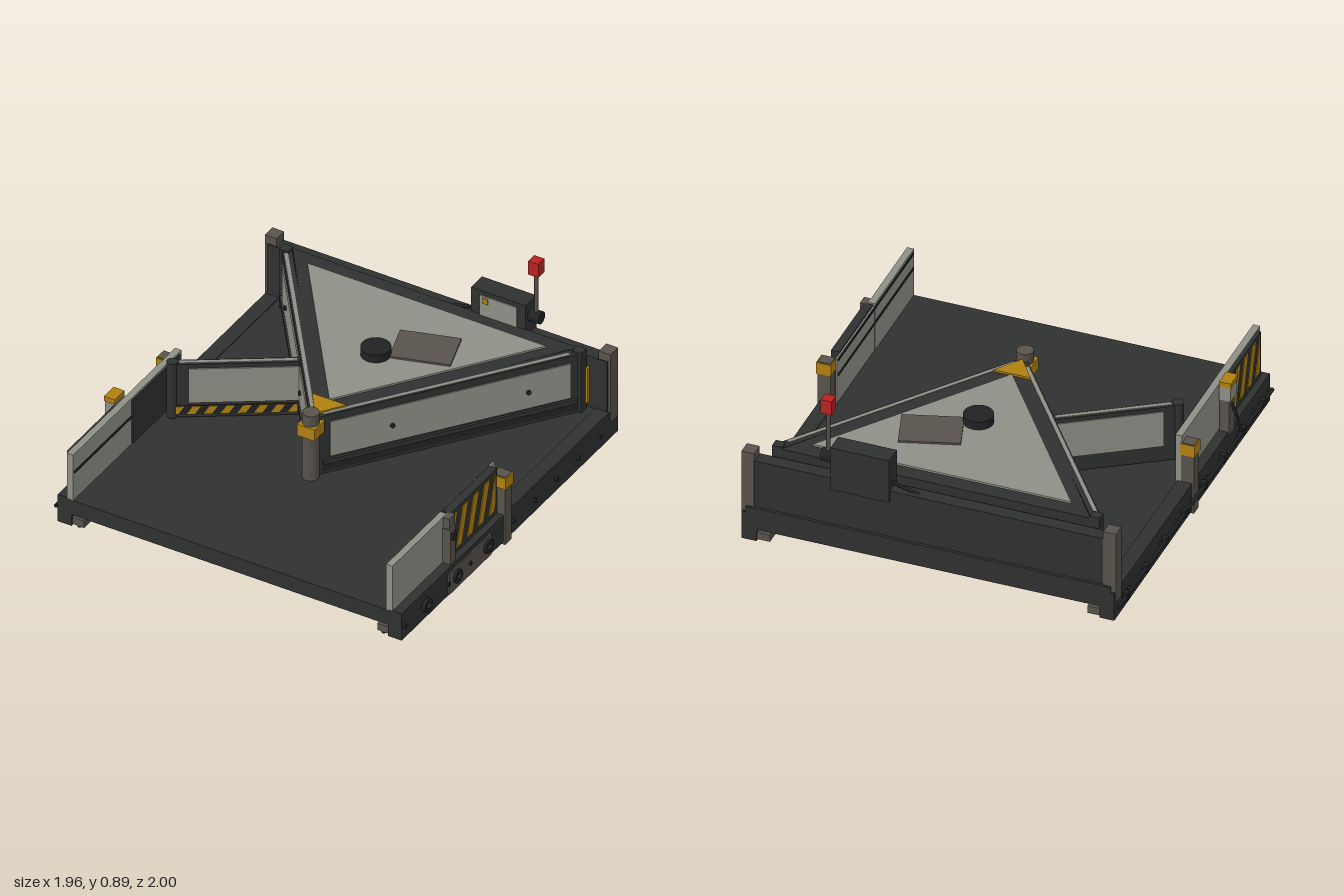
import * as THREE from 'three';

const mat = (name, color) => Object.assign(new THREE.MeshStandardMaterial({ color }), { name });

export function createModel() {
  const root = new THREE.Group();
  root.name = 'wedgeGatePlatform';
  const dark = mat('charcoal', 0x2f3030), black = mat('rubberBlack', 0x202224);
  const light = mat('paleGrey', 0x8e9086), brown = mat('brownSteel', 0x58524b);
  const yellow = mat('safetyYellow', 0xb08010), red = mat('lampRed', 0xb82222);

  const add = (name, geo, m, parent = root) => {
    const mesh = new THREE.Mesh(geo, m);
    mesh.name = name;
    parent.add(mesh);
    return mesh;
  };
  // Box given by its limits on each axis
  const box = (name, m, [x0, x1], [y0, y1], [z0, z1], parent = root) => {
    const mesh = add(name, new THREE.BoxGeometry(Math.abs(x1 - x0), y1 - y0, z1 - z0), m, parent);
    mesh.position.set((x0 + x1) / 2, (y0 + y1) / 2, (z0 + z1) / 2);
    return mesh;
  };
  const cyl = (name, m, r, h, x, y, z, axis = 'y', parent = root, sides = 20) => {
    const mesh = add(name, new THREE.CylinderGeometry(r, r, h, sides), m, parent);
    mesh.position.set(x, y, z);
    if (axis === 'x') mesh.rotation.z = Math.PI / 2;
    if (axis === 'z') mesh.rotation.x = Math.PI / 2;
    return mesh;
  };
  // Flat prism from plan points [x, z]
  const prism = (name, m, pts, y0, y1) => {
    const shape = new THREE.Shape(pts.map(([x, z]) => new THREE.Vector2(x, -z)));
    const geo = new THREE.ExtrudeGeometry(shape, { depth: y1 - y0, bevelEnabled: false });
    geo.rotateX(-Math.PI / 2);
    return add(name, geo, m).position.y = y0;
  };
  // Group whose local x runs from a to b in plan, starting at a; local z is the outer side
  const run = (name, a, b) => {
    const g = new THREE.Group();
    g.name = name;
    g.position.set(a[0], 0, a[1]);
    g.rotation.y = Math.atan2(a[1] - b[1], b[0] - a[0]);
    g.userData.length = Math.hypot(b[0] - a[0], b[1] - a[1]);
    root.add(g);
    return g;
  };
  // Slanted stripes clipped to a rectangle, lying on local z
  const clip = (poly, limit, sign) => poly.flatMap((p, i) => {
    const q = poly[(i + 1) % poly.length];
    const dp = sign * (limit - p[0]), dq = sign * (limit - q[0]);
    const out = dp >= 0 ? [p] : [];
    if (dp * dq < 0) {
      const t = dp / (dp - dq);
      out.push([limit, p[1] + t * (q[1] - p[1])]);
    }
    return out;
  });
  const stripes = (parent, x0, x1, y0, y1, z, period, lean) => {
    for (let s = x0 - lean; s < x1; s += period) {
      const e = s + period / 2;
      let poly = [[s, y0], [e, y0], [e + lean, y1], [s + lean, y1]];
      poly = clip(clip(poly, x1, 1), x0, -1);
      if (poly.length < 3) continue;
      const shape = new THREE.Shape(poly.map(p => new THREE.Vector2(...p)));
      add('hazardStripe', new THREE.ExtrudeGeometry(shape, { depth: 0.005, bevelEnabled: false }), yellow, parent).position.z = z;
    }
  };

  // Deck, side beams and their inner flanges
  box('deck', dark, [-0.88, 0.88], [0.08, 0.165], [-1, 1]);
  for (const s of [-1, 1]) {
    box('sideBeam', dark, [s * 0.875, s * 0.95], [0.015, 0.17], [-1, 1]);
    box('beamFlange', brown, [s * 0.81, s * 0.875], [0.02, 0.06], [-0.99, 0.99]);
    for (let i = 0; i < 10; i++) {
      const z = -0.82 + i * 0.2;
      cyl('beamBolt', black, 0.011, 0.02, s * 0.955, 0.09, z, 'x', root, 8);
      cyl('flangeBolt', black, 0.011, 0.012, s * 0.84, 0.018, z, 'y', root, 8);
    }
    box('cornerPost', brown, [s * 0.89, s * 0.955], [0.11, 0.505], [-0.99, -0.92]);
    // Middle gate posts
    box('gatePost', brown, [s * 0.895, s * 0.96], [0, 0.392], [0, 0.06]);
    box('gatePostBand', yellow, [s * 0.89, s * 0.966], [0.325, 0.388], [-0.005, 0.066]);
    box('wedgeHingePost', dark, [s * 0.785, s * 0.835], [0.165, 0.51], [-0.9, -0.85]);
    box('hingeMarker', yellow, [s * 0.828, s * 0.845], [0.2, 0.4], [-0.912, -0.89]);
  }

  // Back wall
  box('backWall', dark, [-0.94, 0.94], [0.165, 0.46], [-0.985, -0.915]);
  box('backWallLip', dark, [-0.93, 0.93], [0.08, 0.2], [-1, -0.98]);

  // Wedge body and top
  prism('wedgeBody', dark, [[-0.79, -0.9], [0, 0.19], [0.79, -0.9]], 0.165, 0.5);
  prism('wedgeTopPanel', light, [[-0.66, -0.82], [0, 0.08], [0.66, -0.82]], 0.5, 0.51);
  prism('wedgeTipPlate', yellow, [[-0.095, 0.08], [0, 0.215], [0.095, 0.08]], 0.5, 0.511);

  // Wedge side walls
  for (const s of [-1, 1]) {
    const tip = [s * 0.01, 0.21], end = [s * 0.81, -0.87];
    const wall = s < 0 ? run('leftWedgeWall', end, tip) : run('rightWedgeWall', tip, end);
    const L = wall.userData.length;
    box('wallFrame', dark, [0, L], [0.165, 0.5], [-0.03, 0.018], wall);
    box('wallTopStrip', light, [0.03, L - 0.05], [0.498, 0.503], [-0.008, 0.01], wall);
    box('wallPanel', light, [0.06, L - 0.05], [0.26, 0.46], [0.015, 0.024], wall);
    box('kickRail', dark, [0.02, L - 0.02], [0.225, 0.25], [0.015, 0.032], wall);
    box('kickPlate', black, [0.02, L - 0.02], [0.18, 0.225], [0.015, 0.022], wall);
    for (const t of [0.28, 0.8]) {
      cyl('wallBolt', black, 0.012, 0.014, s < 0 ? L - L * t : L * t, 0.355, 0.028, 'z', wall, 10);
    }
  }

  // Swing arm on the right-hand side of the wedge
  const arm = run('swingArm', [-0.81, 0.175], [-0.29, -0.165]);
  const AL = arm.userData.length;
  box('armFrame', dark, [0, AL], [0.18, 0.485], [-0.02, 0.02], arm);
  box('armTopStrip', light, [0.03, AL - 0.02], [0.484, 0.49], [-0.01, 0.012], arm);
  for (const s of [-1, 1]) box('armPanel', light, [0.075, AL - 0.01], [0.265, 0.462], [s * 0.018, s * 0.026].sort((a, b) => a - b), arm);
  box('armHazardBacking', black, [0.01, AL - 0.005], [0.197, 0.248], [0.018, 0.024], arm);
  stripes(arm, 0.015, AL - 0.01, 0.2, 0.245, 0.022, 0.08, 0.03);
  for (const x of [0, AL]) cyl('armHinge', dark, 0.028, 0.315, x, 0.335, 0, 'y', arm);

  // Nose column
  cyl('noseColumn', brown, 0.042, 0.375, 0, 0.353, 0.25);
  box('noseBand', yellow, [-0.048, 0.048], [0.415, 0.48], [0.203, 0.298]);

  // Top fittings
  cyl('topKnob', black, 0.074, 0.045, 0, 0.532, -0.35, 'y', root, 28);
  const hatch = box('topHatch', brown, [-0.15, 0.15], [-0.006, 0.006], [-0.112, 0.112]);
  hatch.position.set(0.18, 0.514, -0.505);
  hatch.rotation.y = 0.3;

  // Control box with signal lamp
  box('controlBox', dark, [0.2, 0.5], [0.4, 0.64], [-0.995, -0.895]);
  box('controlFace', light, [0.25, 0.455], [0.45, 0.615], [-0.896, -0.889]);
  box('controlButton', yellow, [0.268, 0.298], [0.575, 0.605], [-0.89, -0.884]);
  cyl('lampMount', black, 0.032, 0.06, 0.53, 0.56, -0.945, 'x');
  cyl('lampRod', brown, 0.01, 0.26, 0.53, 0.69, -0.945, 'y', root, 10);
  box('signalLamp', red, [0.502, 0.558], [0.81, 0.888], [-0.973, -0.917]);
  const tube = (name, pts, r) => add(name, new THREE.TubeGeometry(
    new THREE.CatmullRomCurve3(pts.map(p => new THREE.Vector3(...p))), 20, r, 6), black);
  tube('boxCable', [[0.21, 0.49, -0.95], [0.13, 0.47, -0.95], [0.06, 0.455, -0.95]], 0.008);

  // Left side (+x) fence and hazard gate
  box('leftFence', light, [0.865, 0.9], [0.165, 0.43], [0.5, 1]);
  box('leftGate', dark, [0.872, 0.915], [0.17, 0.43], [0.06, 0.49]);
  box('leftGateLining', light, [0.864, 0.873], [0.17, 0.422], [0.01, 0.49]);
  for (const y of [0.32, 0.405]) box('leftFenceGroove', black, [0.86, 0.866], [y, y + 0.012], [0.02, 0.99]);
  const leftFace = run('leftHazardFace', [0.916, 0.485], [0.916, 0.07]);
  stripes(leftFace, 0.005, 0.41, 0.2, 0.408, -0.002, 0.1, 0.06);
  box('leftLatchPost', brown, [0.9, 0.945], [0.14, 0.37], [0.495, 0.54]);
  box('leftLatchCap', brown, [0.895, 0.935], [0.37, 0.43], [0.48, 0.535]);
  box('leftLatch', black, [0.935, 0.955], [0.31, 0.35], [0.5, 0.53]);
  box('rollerPlate', brown, [0.945, 0.957], [0.02, 0.14], [0.18, 0.57]);
  for (const z of [0.22, 0.5, 0.78]) {
    cyl('roller', black, 0.036, 0.02, 0.96, 0.09, z, 'x');
    cyl('rollerHub', dark, 0.015, 0.04, 0.962, 0.09, z, 'x', root, 10);
  }

  // Right side (-x) fence and hazard gate
  box('rightFence', light, [-0.9, -0.865], [0.165, 0.43], [0, 1]);
  box('rightFenceBacking', dark, [-0.866, -0.858], [0.17, 0.42], [0.02, 0.46]);
  box('rightFenceGroove', black, [-0.866, -0.86], [0.32, 0.332], [0.46, 0.99]);
  box('rightGate', dark, [-0.916, -0.899], [0.17, 0.42], [0.54, 0.97]);
  const rightFace = run('rightHazardFace', [-0.917, 0.55], [-0.917, 0.96]);
  stripes(rightFace, 0.005, 0.405, 0.2, 0.405, -0.002, 0.1, 0.06);
  box('rightLatchPost', brown, [-0.955, -0.905], [0.15, 0.35], [0.465, 0.535]);
  box('rightLatchBox', light, [-0.965, -0.905], [0.35, 0.432], [0.46, 0.54]);
  box('rightLatchCap', yellow, [-0.968, -0.908], [0.43, 0.457], [0.455, 0.545]);

  // Conduit, clamps and cable along the right side
  cyl('conduit', black, 0.01, 1.98, -0.968, 0.09, 0, 'z', root, 8);
  for (let i = 0; i < 8; i++) {
    const z = -0.88 + i * 0.25;
    box('conduitClamp', black, [-0.978, -0.945], [0.07, 0.11], [z - 0.015, z + 0.015]);
  }
  tube('latchCable', [[-0.95, 0.32, 0.5], [-0.968, 0.25, 0.52], [-0.966, 0.17, 0.56], [-0.968, 0.09, 0.6]], 0.008);
  return root;
}
